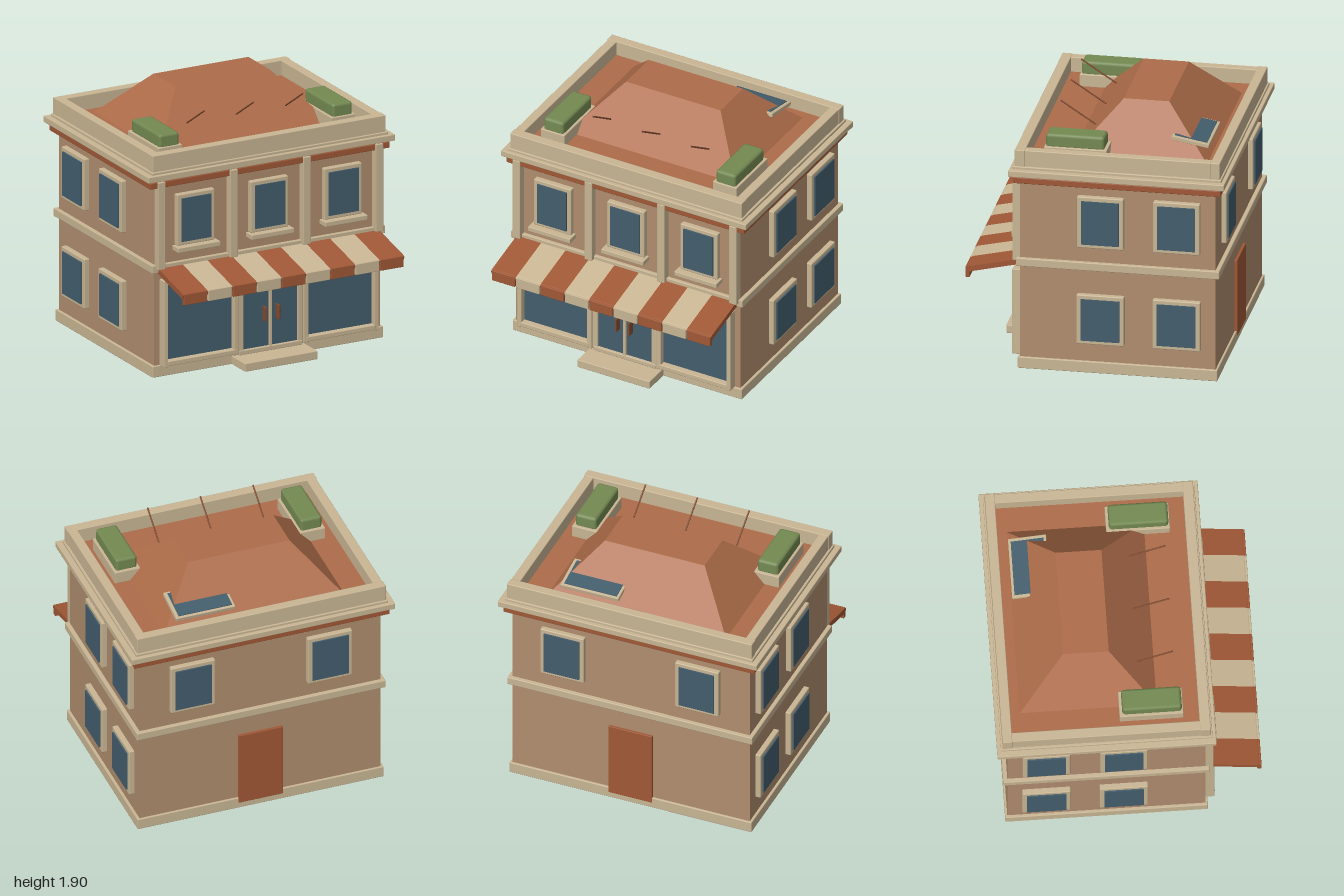
import * as THREE from 'three';
import { RoundedBoxGeometry } from 'three/addons/geometries/RoundedBoxGeometry.js';

const flat = (name, color) => Object.assign(new THREE.MeshStandardMaterial({ color }), { name });

export function createModel() {
  const model = new THREE.Group();
  model.name = 'shopBuilding';
  const wall = flat('wall plaster', 0xb08d6e);
  const trim = flat('stone trim', 0xc9b694);
  const glass = flat('blue glass', 0x435e6d);
  const rust = flat('rust paint', 0xa05836);
  const roofTile = flat('roof terracotta', 0xad6c49);
  const wood = flat('dark wood', 0x7f4a30);
  const leaf = flat('hedge green', 0x748a52);

  function add(name, geometry, material, parent = model) {
    const mesh = new THREE.Mesh(geometry, material);
    mesh.name = name;
    parent.add(mesh);
    return mesh;
  }
  // Box given by its extents, with an optional softened edge
  function block(name, material, [x0, x1], [y0, y1], [z0, z1], edge = 0.006, parent = model) {
    const s = [x1 - x0, y1 - y0, z1 - z0];
    const r = Math.min(edge, Math.min(...s) * 0.45);
    const geo = edge ? new RoundedBoxGeometry(...s, 1, r) : new THREE.BoxGeometry(...s);
    const mesh = add(name, geo, material, parent);
    mesh.position.set((x0 + x1) / 2, (y0 + y1) / 2, (z0 + z1) / 2);
    return mesh;
  }
  const around = (c, w) => [c - w / 2, c + w / 2];

  // Main body and the horizontal bands that wrap it
  block('walls', wall, [-0.915, 0.915], [0.02, 1.5], [-0.87, 0.545], 0);
  block('plinth', trim, [-0.935, 0.935], [0, 0.085], [-0.885, 0.56]);
  block('floorBand', trim, [-0.945, 0.945], [0.785, 0.845], [-0.9, 0.57]);
  block('eaveBand', rust, [-0.97, 0.97], [1.428, 1.474], [-0.915, 0.59]);
  block('corniceCore', trim, [-0.93, 0.93], [1.465, 1.5], [-0.88, 0.56], 0);
  block('cornice', trim, [-1, 1], [1.485, 1.533], [-0.945, 0.617]);
  block('corniceLip', trim, [-0.957, 0.957], [1.525, 1.552], [-0.917, 0.592]);

  // Parapet and roof deck
  block('parapetFront', trim, [-0.945, 0.945], [1.545, 1.675], [0.505, 0.58]);
  block('parapetBack', trim, [-0.945, 0.945], [1.545, 1.675], [-0.905, -0.835]);
  for (const s of [-1, 1]) {
    block('parapetSide', trim, around(s * 0.905, 0.07), [1.545, 1.673], [-0.84, 0.51]);
  }
  block('roofDeck', roofTile, [-0.872, 0.872], [1.5, 1.563], [-0.838, 0.508], 0);

  // Hipped roof: a box whose upper corners are drawn inwards
  const hip = new THREE.BoxGeometry(2, 1, 2).toNonIndexed();
  const p = hip.attributes.position;
  for (let i = 0; i < p.count; i++) {
    const top = p.getY(i) > 0;
    const x = p.getX(i) * (top ? 0.385 : 0.69);
    const z = p.getZ(i) > 0 ? (top ? -0.11 : 0.215) : (top ? -0.437 : -0.768);
    p.setXYZ(i, x, top ? 1.9 : 1.56, z);
  }
  hip.computeVertexNormals();
  add('hippedRoof', hip, roofTile);

  // Skylight, lying at a shallow tilt against the rear slope
  const skylight = new THREE.Group();
  skylight.name = 'skylight';
  skylight.position.set(0.37, 1.683, -0.625);
  skylight.rotation.x = -0.18;
  model.add(skylight);
  block('skylightFrame', trim, [-0.225, 0.225], [-0.015, 0.015], [-0.138, 0.138], 0.004, skylight);
  block('skylightGlass', glass, [-0.205, 0.2], [0.013, 0.02], [-0.118, 0.118], 0, skylight);

  // Leaning roof rods
  for (const x of [-0.4, 0, 0.4]) {
    const a = new THREE.Vector3(x, 1.688, 0.085);
    const b = new THREE.Vector3(x, 1.857, 0.345);
    const rod = add('roofRod', new THREE.CylinderGeometry(0.006, 0.006, a.distanceTo(b), 8), wood);
    rod.position.copy(a).lerp(b, 0.5);
    rod.quaternion.setFromUnitVectors(new THREE.Vector3(0, 1, 0), b.clone().sub(a).normalize());
  }

  // Roof planters
  for (const s of [-1, 1]) {
    block('planter', trim, around(s * 0.702, 0.195), [1.56, 1.655], [-0.06, 0.395]);
    block('hedge', leaf, around(s * 0.702, 0.163), [1.64, 1.747], [-0.04, 0.385], 0.022);
  }

  // Framed window facing +z, with its back on the wall at z = 0
  function windowUnit(name, x, y, z, turn, w, h, depth, sill) {
    const g = new THREE.Group();
    g.name = name;
    g.position.set(x, y, z);
    g.rotation.y = turn;
    model.add(g);
    block('windowFrame', trim, around(0, w), around(0, h), [-0.01, depth], 0.008, g);
    block('windowGlass', glass, around(0, w - 0.065), around(0, h - 0.06), [0, depth + 0.011], 0, g);
    if (sill) block('windowSill', trim, around(0, 0.345), [-h / 2 - 0.035, -h / 2 + 0.002], [0, 0.09], 0.005, g);
  }
  for (const x of [-0.597, 0, 0.597]) windowUnit('frontWindow', x, 1.16, 0.545, 0, 0.305, 0.385, 0.04, true);
  for (const s of [-1, 1]) {
    for (const z of [-0.04, -0.592]) {
      windowUnit('sideUpperWindow', s * 0.915, 1.157, z, s * Math.PI / 2, 0.338, 0.39, 0.04);
      windowUnit('sideLowerWindow', s * 0.915, 0.413, z, s * Math.PI / 2, 0.345, 0.375, 0.04);
    }
    windowUnit('backWindow', s * 0.52, 1.157, -0.87, Math.PI, 0.338, 0.39, 0.037);
  }
  block('backDoor', rust, [-0.168, 0.168], [0.045, 0.628], [-0.89, -0.86], 0.004);

  // Upper pilasters
  for (const x of [-0.883, -0.296, 0.296, 0.883]) {
    block('pilaster', trim, around(x, 0.062), [0.815, 1.474], [0.53, 0.602]);
  }

  // Shop windows either side of the entrance
  for (const s of [-1, 1]) {
    block('shopGlass', glass, around(s * 0.57, 0.54), [0.1, 0.72], [0.54, 0.567], 0);
    block('shopOuterPost', trim, around(s * 0.853, 0.036), [0.08, 0.73], [0.54, 0.612]);
    block('shopInnerPost', trim, around(s * 0.282, 0.04), [0.08, 0.73], [0.54, 0.612]);
    block('shopSill', trim, around(s * 0.562, 0.56), [0.088, 0.125], [0.54, 0.615]);
    block('shopHeader', trim, around(s * 0.568, 0.56), [0.695, 0.73], [0.54, 0.61]);
  }

  // Double entrance door and step
  block('doorBottomRail', trim, [-0.255, 0.255], [0.07, 0.105], [0.54, 0.605]);
  block('doorHeader', trim, [-0.265, 0.265], [0.695, 0.73], [0.54, 0.605]);
  block('doorDivider', trim, [-0.011, 0.011], [0.1, 0.7], [0.54, 0.603], 0.004);
  for (const s of [-1, 1]) {
    block('doorStile', trim, around(s * 0.241, 0.044), [0.08, 0.72], [0.54, 0.6]);
    block('doorGlass', glass, around(s * 0.115, 0.21), [0.1, 0.7], [0.54, 0.585], 0);
    block('doorHandle', wood, around(s * 0.053, 0.014), [0.3, 0.41], [0.58, 0.635], 0.004);
  }
  block('entranceStep', trim, [-0.295, 0.295], [0, 0.063], [0.55, 0.76]);

  // Striped awning: a sloped slab and a hanging valance for each stripe
  const slope = new THREE.Shape([
    [0.55, 0.822], [0.55, 0.783], [0.93, 0.695], [0.944, 0.728], [0.925, 0.738],
  ].map(([z, y]) => new THREE.Vector2(-z, y)).reverse());
  for (let i = 0; i < 9; i++) {
    const x = (i - 4) * 0.199;
    const paint = i % 2 ? trim : rust;
    const stripe = add('awningStripe', new THREE.ExtrudeGeometry(slope, { depth: 0.199, bevelEnabled: false }), paint);
    stripe.rotation.y = Math.PI / 2;
    stripe.position.x = x - 0.0995;
    block('awningValance', paint, around(x, 0.19), [0.652, 0.735], [0.914, 0.945], 0.005);
  }
  return model;
}
